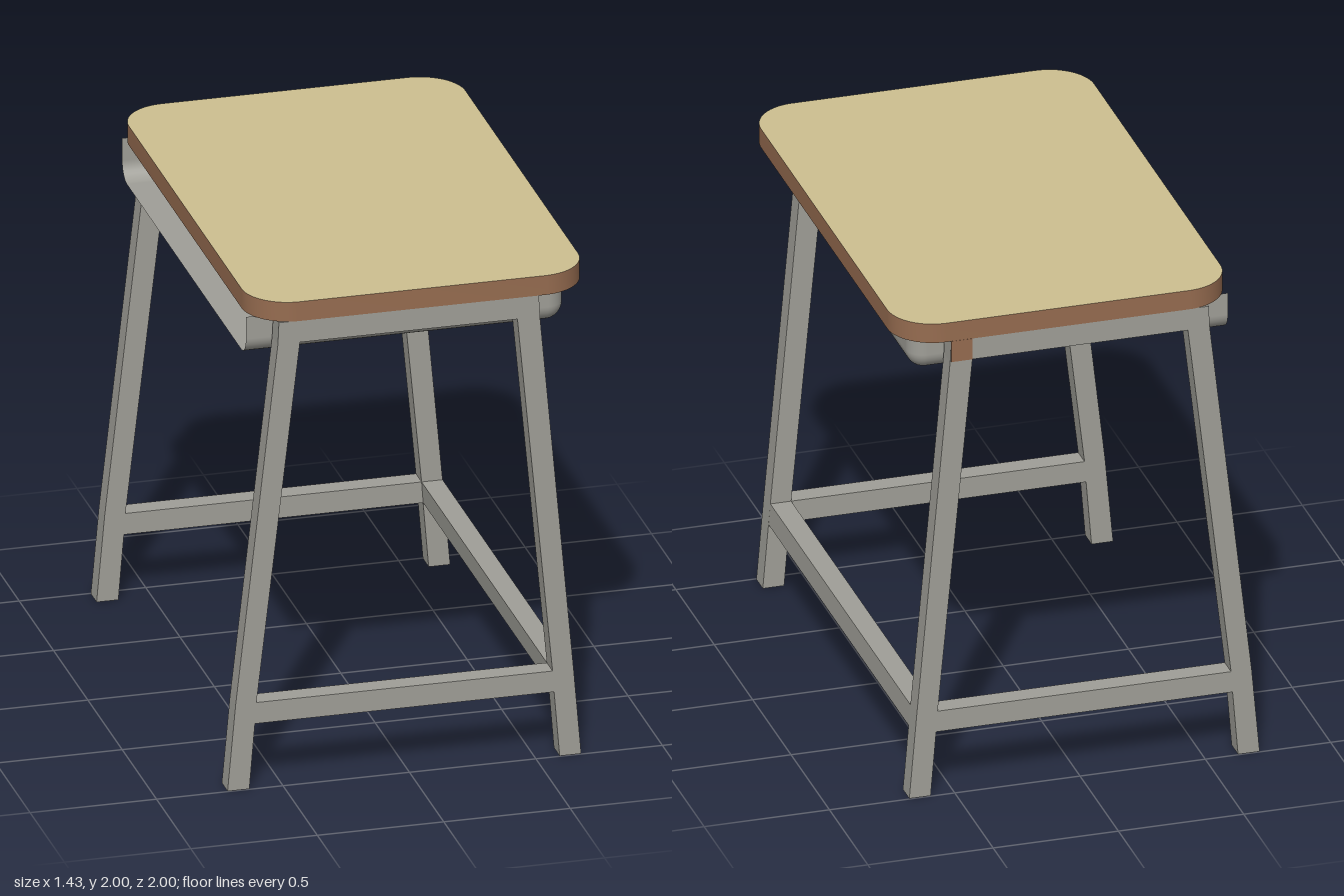
import * as THREE from 'three';
import { toCreasedNormals } from 'three/addons/utils/BufferGeometryUtils.js';

const polygon = (pts, Type = THREE.Shape) => new Type(pts.map(([x, y]) => new THREE.Vector2(x, y)));

function roundedRect(x0, x1, y0, y1, r) {
  const s = new THREE.Shape();
  s.absarc(x1 - r, y0 + r, r, -Math.PI / 2, 0);
  s.absarc(x1 - r, y1 - r, r, 0, Math.PI / 2);
  s.absarc(x0 + r, y1 - r, r, Math.PI / 2, Math.PI);
  s.absarc(x0 + r, y0 + r, r, Math.PI, Math.PI * 1.5);
  s.closePath();
  return s;
}

// Sheet-metal tray, open above and on the -x side, with rounded bottom edges
function trayGeometry(x0, x1, halfZ, yTop, yBottom, r) {
  const cx = x1 - r, cz = halfZ - r, steps = 8;
  const outline = [[x0, -cz, -Math.PI / 2]];
  for (const side of [-1, 1]) {
    for (let k = 0; k <= steps; k++) {
      const q = (k / steps) * Math.PI / 2;
      outline.push([cx, side * cz, side < 0 ? q - Math.PI / 2 : q]);
    }
  }
  outline.push([x0, cz, Math.PI / 2]);

  const levels = [[yTop, 0]];
  for (let k = 0; k <= steps; k++) levels.push([yBottom + r, (k / steps) * Math.PI / 2]);

  const pos = [], nor = [], idx = [], n = outline.length;
  for (const [y, tilt] of levels) {
    for (const [px, pz, a] of outline) {
      const nx = Math.cos(a) * Math.cos(tilt), nz = Math.sin(a) * Math.cos(tilt), ny = -Math.sin(tilt);
      pos.push(px + nx * r, y + ny * r, pz + nz * r);
      nor.push(nx, ny, nz);
    }
  }
  for (let j = 0; j < levels.length - 1; j++) {
    for (let i = 0; i < n - 1; i++) {
      const a = j * n + i, c = a + n;
      idx.push(a, a + 1, c, a + 1, c + 1, c);
    }
  }
  // floor joins the two halves of the last loop
  const base = (levels.length - 1) * n;
  for (let i = 0; i < n / 2 - 1; i++) {
    const p = base + i, q = base + n - 1 - i;
    idx.push(p, p + 1, q, p + 1, q - 1, q);
  }
  const g = new THREE.BufferGeometry();
  g.setAttribute('position', new THREE.Float32BufferAttribute(pos, 3));
  g.setAttribute('normal', new THREE.Float32BufferAttribute(nor, 3));
  g.setIndex(idx);
  return g;
}

export function createModel() {
  const cream = new THREE.MeshStandardMaterial({ color: 0xcdbf90 });
  cream.name = 'cream laminate';
  const brown = new THREE.MeshStandardMaterial({ color: 0x966c50 });
  brown.name = 'brown edging';
  const grey = new THREE.MeshStandardMaterial({ color: 0x9f9e97 });
  grey.name = 'grey steel';
  const greySheet = grey;
  greySheet.side = THREE.DoubleSide;

  const model = new THREE.Group();
  model.name = 'schoolDesk';
  const add = (name, geometry, material) => {
    const mesh = new THREE.Mesh(geometry, material);
    mesh.name = name;
    model.add(mesh);
    return mesh;
  };

  // Desktop: cream faces, brown rim
  const top = new THREE.ExtrudeGeometry(roundedRect(-0.615, 0.715, -1, 1, 0.18),
    { depth: 0.08, bevelEnabled: false, curveSegments: 10 });
  top.rotateX(-Math.PI / 2).translate(0, 1.92, 0);
  add('desktop', toCreasedNormals(top, 0.6), [cream, brown]);

  // Tray under the desktop
  add('tray', trayGeometry(-0.62, 0.645, 0.902, 1.917, 1.755, 0.07), greySheet);

  // End frames: two splayed legs, top rail and stretcher in one piece
  const frame = polygon([
    [-0.718, 0], [-0.632, 0], [-0.61, 0.268], [0.573, 0.268], [0.595, 0], [0.68, 0],
    [0.65, 0.355], [0.517, 1.83], [0.513, 1.92], [-0.515, 1.92], [-0.519, 1.83], [-0.686, 0.355],
  ]);
  frame.holes.push(polygon([[-0.604, 0.355], [-0.432, 1.83], [0.428, 1.83], [0.567, 0.355]], THREE.Path));
  for (const [name, z] of [['frontFrame', 0.912], ['backFrame', -0.996]]) {
    const g = new THREE.ExtrudeGeometry(frame, { depth: 0.084, bevelEnabled: false });
    add(name, g.translate(0, 0, z), grey);
  }

  // Long rail joining the two frames
  const rail = polygon([[0.573, 0.268], [0.657, 0.268], [0.65, 0.355], [0.567, 0.355]]);
  const railGeometry = new THREE.ExtrudeGeometry(rail, { depth: 1.824, bevelEnabled: false });
  add('sideRail', railGeometry.translate(0, 0, -0.912), grey);

  // Brown patch on the rear frame corner
  add('cornerPatch', new THREE.BoxGeometry(0.085, 0.088, 0.004), brown).position.set(0.471, 1.875, -0.997);

  return model;
}
